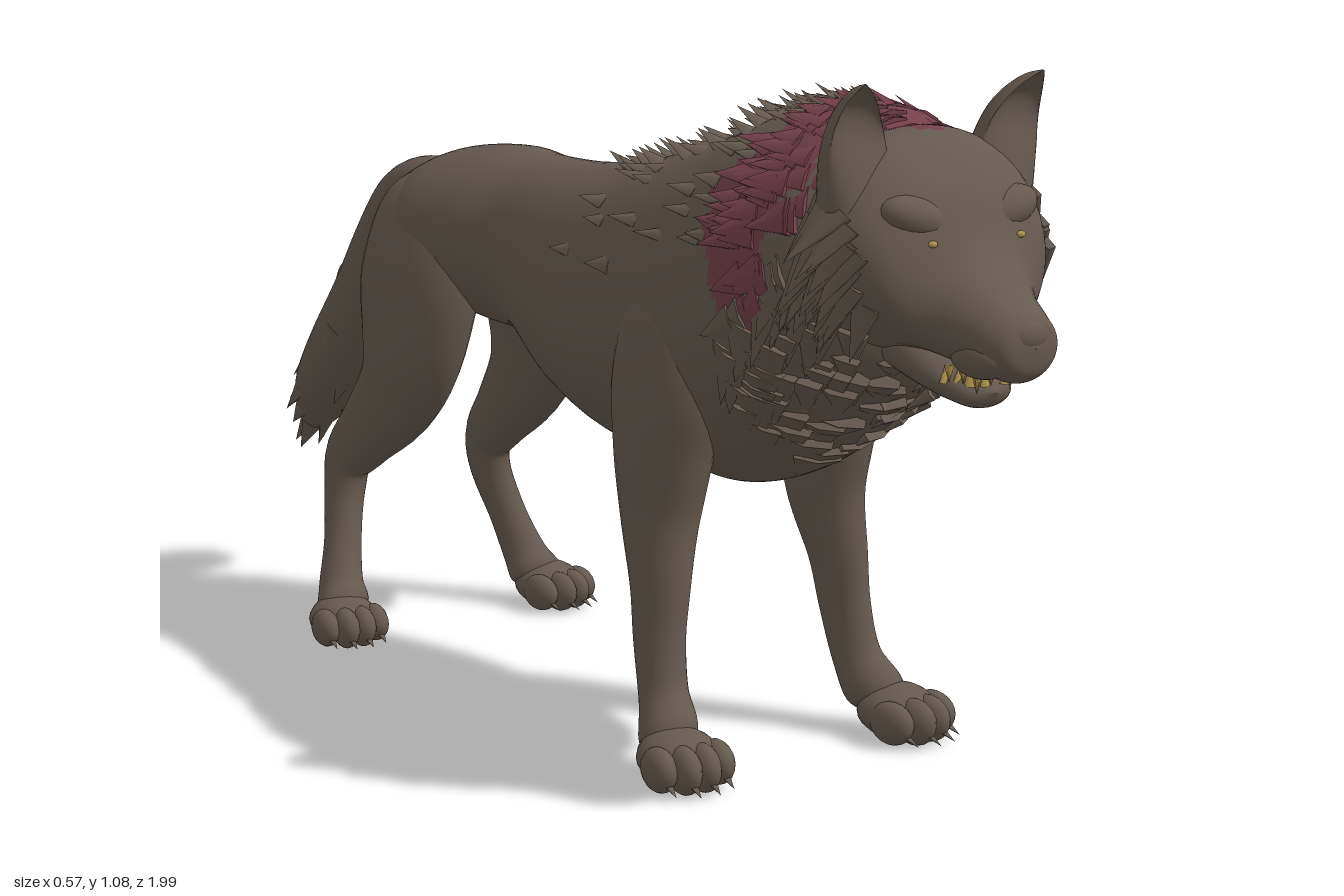
import * as THREE from 'three';
import { mergeGeometries } from 'three/addons/utils/BufferGeometryUtils.js';

const V = (x, y, z) => new THREE.Vector3(x, y, z);
const X = V(1, 0, 0), Y = V(0, 1, 0);
const mat = (name, color) => new THREE.MeshStandardMaterial({ name, color });

let seed = 7;
const rnd = (a = 0, b = 1) => {
  seed = (seed * 16807) % 2147483647;
  return a + (b - a) * seed / 2147483647;
};

// Piecewise linear lookup
const lookup = (pts, v) => {
  if (v <= pts[0][0]) return pts[0][1];
  for (let i = 1; i < pts.length; i++) {
    if (v <= pts[i][0]) {
      return THREE.MathUtils.mapLinear(v, pts[i - 1][0], pts[i][0], pts[i - 1][1], pts[i][1]);
    }
  }
  return pts[pts.length - 1][1];
};

// Red band of fur over the neck: ragged edges, swept back at the sides, a peak between the ears
const inPatch = (p) => {
  const zig = 0.013 * Math.sin(p.y * 75 + p.x * 40);
  const peak = p.y > 0.95 ? 0.08 * Math.max(0, 1 - Math.abs(p.x) / 0.06) : 0;
  const front = lookup([[0.71, 0.625], [0.85, 0.65], [0.96, 0.69], [1.02, 0.73]], p.y) + peak;
  const back = lookup([[0.71, 0.56], [0.8, 0.505], [0.88, 0.47], [0.93, 0.49], [0.98, 0.55], [1.02, 0.575]], p.y);
  return p.y > 0.705 && p.z < front + zig && p.z > back + zig;
};

// Smooth skin through elliptical sections [x, y, z, radiusX, radiusOther]
function loft(rows, { steps = 40, sides = 28, upright = false, shape = null, patch = false } = {}) {
  const centre = new THREE.CatmullRomCurve3(rows.map(r => V(r[0], r[1], r[2])), false, 'catmullrom', 0.5);
  const radii = new THREE.CatmullRomCurve3(rows.map(r => V(r[3], r[4], 0)), false, 'catmullrom', 0.5);
  const at = (t, a) => {
    const c = centre.getPoint(t), r = radii.getPoint(t);
    const b = upright ? Y.clone() : centre.getTangent(t).cross(X).normalize();
    let u = Math.cos(a), v = Math.sin(a);
    if (shape) [u, v] = shape(u, v, t);
    const p = c.clone().addScaledVector(X, u * Math.max(r.x, 0.0005)).addScaledVector(b, v * Math.max(r.y, 0.0005));
    return { p, n: p.clone().sub(c).normalize() };
  };
  const pos = [], pts = [], plain = [], red = [];
  for (let i = 0; i <= steps; i++) for (let j = 0; j < sides; j++) {
    const { p } = at(i / steps, j / sides * Math.PI * 2);
    pts.push(p);
    pos.push(p.x, p.y, p.z);
  }
  for (let i = 0; i < steps; i++) for (let j = 0; j < sides; j++) {
    const k = (j + 1) % sides, a = i * sides + j, b = i * sides + k;
    const isRed = patch && inPatch(pts[a].clone().add(pts[b + sides]).multiplyScalar(0.5));
    (isRed ? red : plain).push(a, b, a + sides, b, b + sides, a + sides);
  }
  const geo = new THREE.BufferGeometry();
  geo.setAttribute('position', new THREE.Float32BufferAttribute(pos, 3));
  geo.setIndex([...plain, ...red]);
  geo.addGroup(0, plain.length, 0);
  geo.addGroup(plain.length, red.length, 1);
  geo.computeVertexNormals();
  return { geo, at };
}

// Flattened pointed lock of fur growing from p along d, lying against normal n
function lock(p, d, n, length, width, flat = 0.3) {
  const y = d.clone().normalize();
  const z = n.clone().addScaledVector(y, -n.dot(y)).normalize();
  const m = new THREE.Matrix4().makeBasis(y.clone().cross(z), y, z).setPosition(p);
  return new THREE.ConeGeometry(1, 1, 6, 1).translate(0, 0.4, 0).scale(width, length, width * flat).applyMatrix4(m);
}

export function createModel() {
  seed = 7;
  const wolf = new THREE.Group();
  wolf.name = 'wolf';
  const coat = mat('brown coat', 0x665a50), redFur = mat('red fur', 0x74404c), gold = mat('yellow ivory', 0xb4954f);
  const add = (name, geo, material, parent = wolf) => {
    const m = new THREE.Mesh(geo, material);
    m.name = name;
    parent.add(m);
    return m;
  };
  const ball = (name, p, s, material, parent) => {
    const m = add(name, new THREE.SphereGeometry(1, 18, 12), material, parent);
    m.position.set(...p);
    m.scale.set(...s);
    return m;
  };

  // Torso, rump to neck
  const torso = loft([
    [0, 0.73, -0.595, 0, 0], [0, 0.73, -0.565, 0.07, 0.06], [0, 0.71, -0.5, 0.13, 0.11],
    [0, 0.715, -0.4, 0.165, 0.135], [0, 0.715, -0.28, 0.152, 0.148], [0, 0.705, -0.18, 0.13, 0.153],
    [0, 0.668, -0.05, 0.152, 0.193], [0, 0.657, 0.1, 0.18, 0.223], [0, 0.675, 0.25, 0.195, 0.245],
    [0, 0.69, 0.38, 0.204, 0.27], [0, 0.73, 0.5, 0.203, 0.275], [0, 0.77, 0.6, 0.205, 0.255],
    [0, 0.80, 0.68, 0.198, 0.215], [0, 0.82, 0.75, 0.15, 0.15], [0, 0.82, 0.79, 0, 0],
  ], { steps: 120, sides: 80, upright: true, patch: true });
  add('torso', torso.geo, [coat, redFur]);

  // Head and muzzle
  const head = loft([
    [0, 0.84, 0.64, 0.13, 0.13], [0, 0.84, 0.73, 0.19, 0.16], [0, 0.84, 0.79, 0.182, 0.15],
    [0, 0.812, 0.845, 0.152, 0.122], [0, 0.765, 0.885, 0.098, 0.085], [0, 0.74, 0.925, 0.073, 0.067],
    [0, 0.722, 0.965, 0.061, 0.055], [0, 0.72, 0.99, 0.044, 0.038], [0, 0.72, 0.998, 0, 0],
  ], { steps: 64, sides: 56, upright: true, patch: true });
  add('head', head.geo, [coat, redFur]);
  add('lowerJaw', loft([
    [0, 0.70, 0.74, 0.07, 0.05], [0, 0.675, 0.81, 0.065, 0.043], [0, 0.653, 0.86, 0.053, 0.03],
    [0, 0.644, 0.9, 0.043, 0.022], [0, 0.646, 0.918, 0, 0],
  ], { steps: 20, upright: true }).geo, coat);
  ball('nose', [0, 0.736, 0.974], [0.04, 0.028, 0.026], coat);

  // Teeth
  const teeth = [];
  for (const s of [-1, 1]) for (let i = 0; i < 4; i++) {
    const big = i === 1 ? 1.5 : 1, z = 0.915 - i * 0.017, x = s * (0.018 + i * 0.01);
    teeth.push(lock(V(x, 0.659, z), Y, V(0, 0, 1), 0.026 * big, 0.008 * big, 0.8));
    teeth.push(lock(V(x * 1.08, 0.682, z + 0.014), V(0, -1, 0), V(0, 0, 1), 0.026 * big, 0.008 * big, 0.8));
  }
  add('teeth', mergeGeometries(teeth), gold);

  // Ears, brows, eyes and upper lips
  for (const s of [-1, 1]) {
    const side = s > 0 ? 'left' : 'right';
    add(side + 'Ear', loft([
      [s * 0.125, 0.89, 0.765, 0.06, 0.06], [s * 0.136, 0.96, 0.775, 0.054, 0.056], [s * 0.143, 1.01, 0.785, 0.043, 0.044],
      [s * 0.152, 1.05, 0.803, 0.025, 0.024], [s * 0.16, 1.073, 0.82, 0.004, 0.004], [s * 0.16, 1.075, 0.82, 0, 0],
    ], { steps: 24, shape: (u, v, t) => [u, v < 0 ? v * (0.7 - 1.0 * Math.min(1, t * 2)) : v] }).geo, coat);
    const brow = ball(side + 'Brow', [s * 0.078, 0.885, 0.832], [0.062, 0.032, 0.036], coat);
    brow.rotation.z = s * 0.3;
    ball(side + 'Eye', [s * 0.08, 0.855, 0.872], [0.007, 0.005, 0.006], gold);
    ball(side + 'Lip', [s * 0.037, 0.703, 0.928], [0.034, 0.032, 0.055], coat);
  }

  // Legs and paws
  const foreleg = [
    [0.1, 0.82, 0.36, 0, 0], [0.13, 0.74, 0.36, 0.06, 0.085], [0.148, 0.6, 0.355, 0.074, 0.11],
    [0.155, 0.48, 0.345, 0.066, 0.092], [0.158, 0.38, 0.343, 0.055, 0.072], [0.17, 0.28, 0.36, 0.042, 0.055],
    [0.178, 0.2, 0.369, 0.036, 0.048], [0.186, 0.12, 0.39, 0.036, 0.043], [0.2, 0.06, 0.425, 0.045, 0.045],
    [0.2, 0.02, 0.44, 0, 0],
  ];
  const hindleg = [
    [0.06, 0.83, -0.42, 0, 0], [0.085, 0.77, -0.42, 0.06, 0.11], [0.11, 0.65, -0.41, 0.077, 0.145],
    [0.125, 0.53, -0.415, 0.068, 0.124], [0.13, 0.44, -0.455, 0.055, 0.093], [0.137, 0.36, -0.537, 0.042, 0.067],
    [0.143, 0.3, -0.598, 0.036, 0.053], [0.15, 0.24, -0.604, 0.033, 0.043], [0.17, 0.16, -0.58, 0.032, 0.036],
    [0.19, 0.09, -0.555, 0.038, 0.04], [0.2, 0.05, -0.53, 0.045, 0.04], [0.2, 0.02, -0.52, 0, 0],
  ];
  const legs = [['Foreleg', foreleg, 0.47, 1], ['Hindleg', hindleg, -0.505, 0.93]];
  for (const s of [-1, 1]) for (const [name, rows, z, size] of legs) {
    const side = s > 0 ? 'left' : 'right';
    add(side + name, loft(rows.map(([x, ...r]) => [s * x, ...r]), { steps: 48 }).geo, coat);
    const paw = new THREE.Group();
    paw.name = side + name + 'Paw';
    paw.position.set(s * 0.212, 0, z);
    paw.rotation.y = s * 0.15;
    paw.scale.setScalar(size);
    wolf.add(paw);
    ball('pad', [0, 0.043, -0.008], [0.063, 0.043, 0.064], coat, paw);
    for (let i = 0; i < 4; i++) {
      const x = (i - 1.5) * 0.032, middle = i === 1 || i === 2, front = middle ? 0.042 : 0.024;
      ball('toe', [x, 0.037, front], [0.023, middle ? 0.037 : 0.034, 0.042], coat, paw);
      add('claw', lock(V(x, 0.022, front + 0.03), V(0, -0.45, 1), Y, 0.032, 0.009), coat, paw);
    }
  }

  // Tail
  const tail = loft([
    [0, 0.78, -0.44, 0.03, 0.03], [0, 0.768, -0.54, 0.055, 0.05], [0, 0.735, -0.62, 0.06, 0.058],
    [0, 0.66, -0.685, 0.062, 0.062], [0, 0.545, -0.76, 0.067, 0.068], [0, 0.435, -0.845, 0.072, 0.068],
    [0, 0.355, -0.915, 0.062, 0.058], [0, 0.295, -0.965, 0.03, 0.035], [0, 0.262, -0.985, 0, 0],
  ], { steps: 48 });
  add('tail', tail.geo, coat);

  // Fur locks
  const brownLocks = [], redLocks = [];
  const grow = (surface, t, a, dir, length, width, lift = 0.12) => {
    const { p, n } = surface.at(t, a);
    const d = V(...dir).normalize();
    d.addScaledVector(n, lift - d.dot(n)).normalize();
    const list = inPatch(p.clone().addScaledVector(d, length * 0.45)) ? redLocks : brownLocks;
    list.push(lock(p.clone().addScaledVector(n, -0.003), d, n, length, width));
  };
  // back and flanks
  for (let i = 0; i < 150; i++) {
    const t = rnd(0.5, 0.84);
    grow(torso, t, rnd(0.25, Math.PI - 0.25), [0, -0.15, -1], rnd(0.04, 0.075), rnd(0.014, 0.022));
  }
  // spine crest
  for (let i = 0; i < 60; i++) {
    grow(torso, rnd(0.5, 0.9), Math.PI / 2 + rnd(-0.4, 0.4), [0, 0.2, -1], rnd(0.05, 0.075), rnd(0.012, 0.02), 0.35);
  }
  // mane around the neck
  for (let i = 0; i < 130; i++) {
    grow(torso, rnd(0.76, 0.9), rnd(-0.3, Math.PI + 0.3), [0, -0.4, -1], rnd(0.06, 0.09), rnd(0.022, 0.034));
  }
  // chest ruff
  for (let i = 0; i < 100; i++) {
    const a = -Math.PI / 2 + rnd(-1.6, 1.6);
    grow(torso, rnd(0.74, 0.925), a, [0, -1, -0.35], rnd(0.07, 0.11), rnd(0.028, 0.046), 0.2);
  }
  // cheek fringe
  for (const s of [-1, 1]) for (let i = 0; i < 30; i++) {
    const a = rnd(-0.65, 0.4);
    grow(head, rnd(0.1, 0.3), s > 0 ? a : Math.PI - a, [0, -0.85, -0.35], rnd(0.075, 0.11), rnd(0.024, 0.036), 0.4);
  }
  // tail brush
  for (let i = 0; i < 40; i++) {
    grow(tail, rnd(0.4, 0.93), rnd(0, Math.PI * 2), [0, -0.75, -0.65], rnd(0.04, 0.06), rnd(0.014, 0.022));
  }
  add('brownFurLocks', mergeGeometries(brownLocks), coat);
  add('redFurLocks', mergeGeometries(redLocks), redFur);
  return wolf;
}
